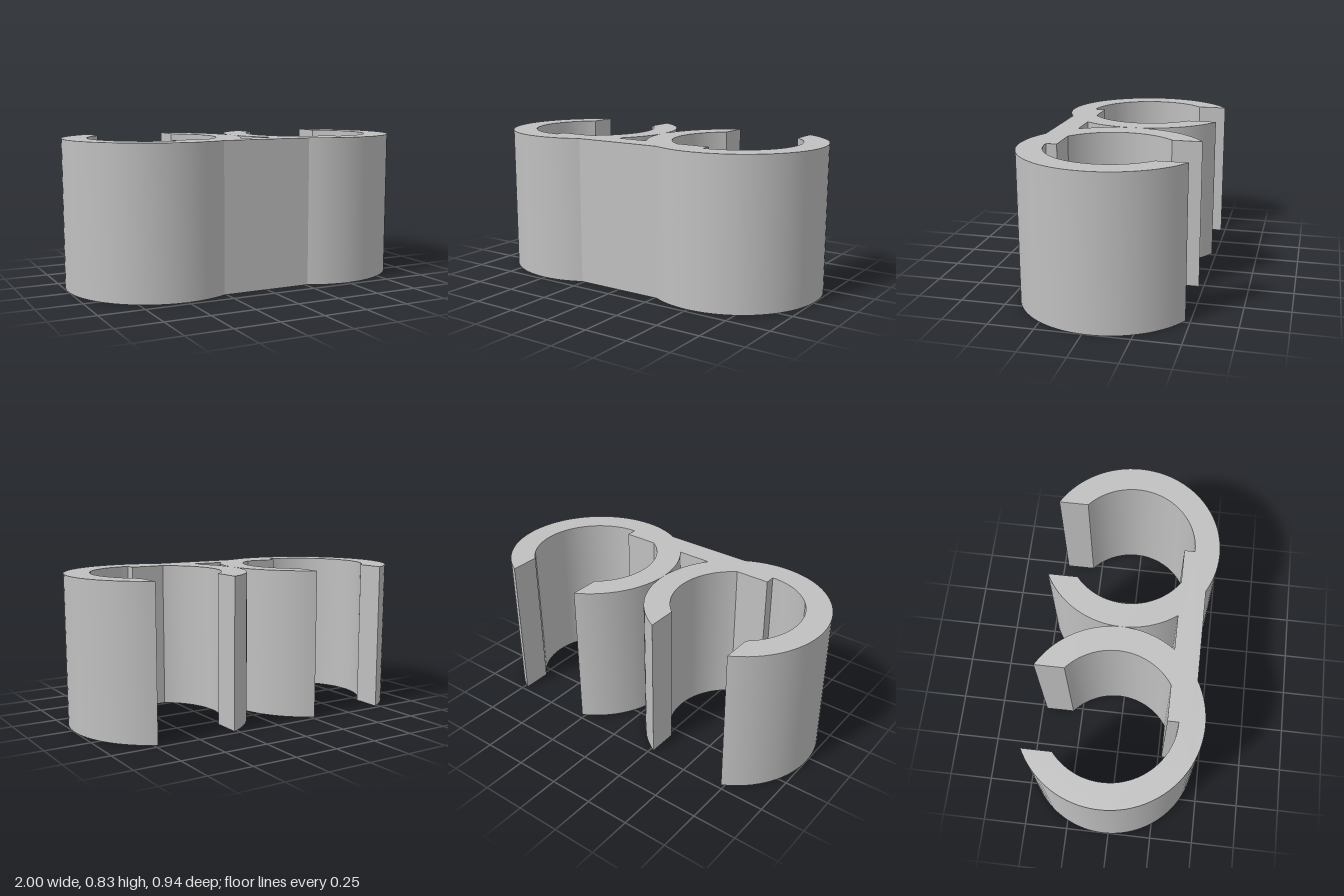
import * as THREE from 'three';
import { toCreasedNormals } from 'three/addons/utils/BufferGeometryUtils.js';

const HEIGHT = 0.835;
const CX = 0.5, CY = 0.03;        // ring centre in plan (plan y = -z)
const OUTER = 0.5, INNER = 0.36;  // ring radii
const GAP = 0.23;                 // half width of the mouth
const BAR_BACK = -0.27, BAR_FRONT = -0.41;

// Points along a ring arc, from angle a to angle b
function arc(radius, a, b) {
  const n = Math.ceil(Math.abs(b - a) / 0.07);
  return Array.from({ length: n + 1 }, (_, i) => {
    const t = a + (b - a) * i / n;
    return new THREE.Vector2(CX + radius * Math.cos(t), CY + radius * Math.sin(t));
  });
}

// Plan of one clip with its half of the bar, counter-clockwise
function halfOutline() {
  const mouth = r => Math.acos(GAP / r);
  const atLevel = (r, y) => Math.PI - Math.asin((y - CY) / r); // left side crossing
  const turn = 2 * Math.PI;
  return [
    ...arc(OUTER, atLevel(OUTER, BAR_FRONT) - turn, mouth(OUTER)),
    ...arc(INNER, mouth(INNER), -Math.PI / 2),
    new THREE.Vector2(CX, BAR_BACK),
    ...arc(INNER, atLevel(INNER, BAR_BACK) - turn, -Math.PI - mouth(INNER)),
    ...arc(OUTER, Math.PI - mouth(OUTER), atLevel(OUTER, BAR_BACK)),
  ];
}

export function createModel() {
  const group = new THREE.Group();
  group.name = 'doubleClip';
  const grey = new THREE.MeshStandardMaterial({ color: 0xc0c0c0 });
  grey.name = 'grey plastic';

  // Both clips and the joining bar as one extruded plan
  const half = halfOutline();
  const mirrored = half.map(p => new THREE.Vector2(-p.x, p.y)).reverse();
  const shape = new THREE.Shape([...half, ...mirrored]);
  const geometry = new THREE.ExtrudeGeometry(shape, { depth: HEIGHT, bevelEnabled: false });
  geometry.rotateX(-Math.PI / 2);

  const body = new THREE.Mesh(toCreasedNormals(geometry, 0.3), grey);
  body.name = 'clipBody';
  group.add(body);
  return group;
}
